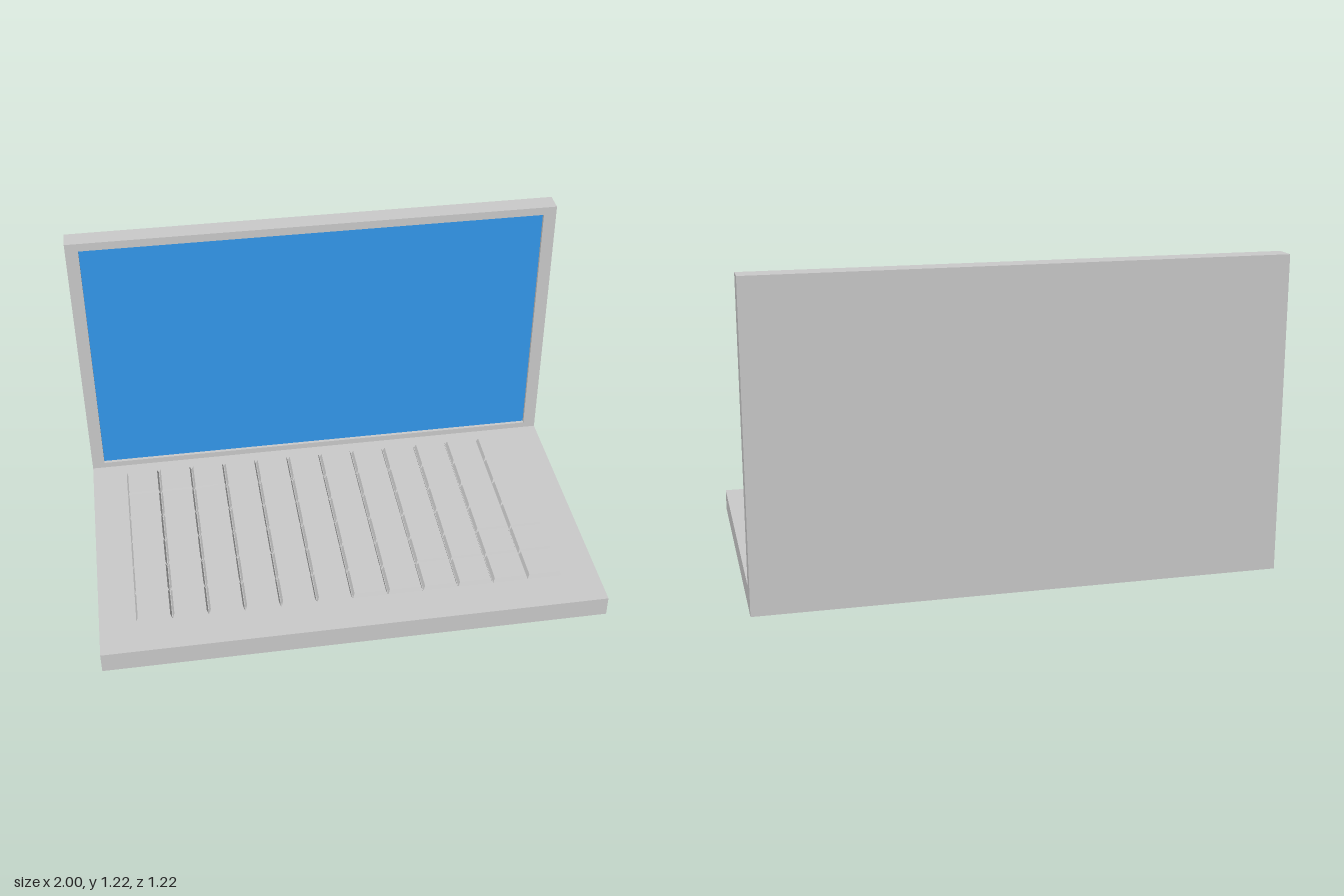
import * as THREE from 'three';

const grey = new THREE.MeshStandardMaterial({ color: 0xcccccc, flatShading: true });
const blue = new THREE.MeshStandardMaterial({ color: 0x3399ee, flatShading: true });

const W = 2, D = 1.216, H = 1.22;   // overall size
const BASE_H = 0.085, LID_T = 0.083, RECESS = 0.015;
const BACK = -D / 2, LID_FRONT = BACK + LID_T;

function add(parent, name, geometry, material, x, y, z) {
  const mesh = new THREE.Mesh(geometry, material);
  mesh.name = name;
  mesh.position.set(x, y, z);
  parent.add(mesh);
  return mesh;
}

function rectangle(path, x0, y0, x1, y1) {
  path.moveTo(x0, y0).lineTo(x1, y0).lineTo(x1, y1).lineTo(x0, y1).closePath();
  return path;
}

// Key cap: a box whose upper face is drawn in to form sloping sides
function keyGeometry(w, h, d, inset) {
  const geometry = new THREE.BoxGeometry(w, h, d);
  const p = geometry.attributes.position;
  for (let i = 0; i < p.count; i++) {
    if (p.getY(i) > 0) {
      p.setX(i, p.getX(i) - Math.sign(p.getX(i)) * inset);
      p.setZ(i, p.getZ(i) - Math.sign(p.getZ(i)) * inset);
    }
  }
  geometry.computeVertexNormals();
  return geometry;
}

export function createModel() {
  const laptop = new THREE.Group();
  laptop.name = 'laptop';

  // Base slab
  add(laptop, 'base', new THREE.BoxGeometry(W, BASE_H, D), grey, 0, BASE_H / 2, 0);

  // Upright lid: back panel, raised frame and recessed display
  const lid = new THREE.Group();
  lid.name = 'lid';
  laptop.add(lid);
  const lidH = H - BASE_H, panelT = LID_T - RECESS;
  add(lid, 'lidPanel', new THREE.BoxGeometry(W, lidH, panelT), grey,
    0, BASE_H + lidH / 2, BACK + panelT / 2);

  const sx = 0.948, sy0 = 0.11, sy1 = 1.186;
  const frame = rectangle(new THREE.Shape(), -W / 2, BASE_H, W / 2, H);
  frame.holes.push(rectangle(new THREE.Path(), -sx, sy0, sx, sy1));
  add(lid, 'screenFrame', new THREE.ExtrudeGeometry(frame, { depth: RECESS, bevelEnabled: false }),
    grey, 0, 0, LID_FRONT - RECESS);
  add(lid, 'screen', new THREE.PlaneGeometry(2 * sx, sy1 - sy0), blue,
    0, (sy0 + sy1) / 2, LID_FRONT - RECESS + 0.001);

  // Keyboard: 12 columns by 6 rows
  const keyboard = new THREE.Group();
  keyboard.name = 'keyboard';
  laptop.add(keyboard);
  const cols = 12, rows = 6, pitchX = 0.1425, pitchZ = 0.1515, keyH = 0.02;
  const key = keyGeometry(0.14, keyH, 0.149, 0.007);
  for (let r = 0; r < rows; r++) {
    for (let c = 0; c < cols; c++) {
      add(keyboard, 'key', key, grey,
        (c - (cols - 1) / 2) * pitchX - 0.002, BASE_H + keyH / 2, (r - (rows - 1) / 2) * pitchZ - 0.001);
    }
  }
  return laptop;
}
